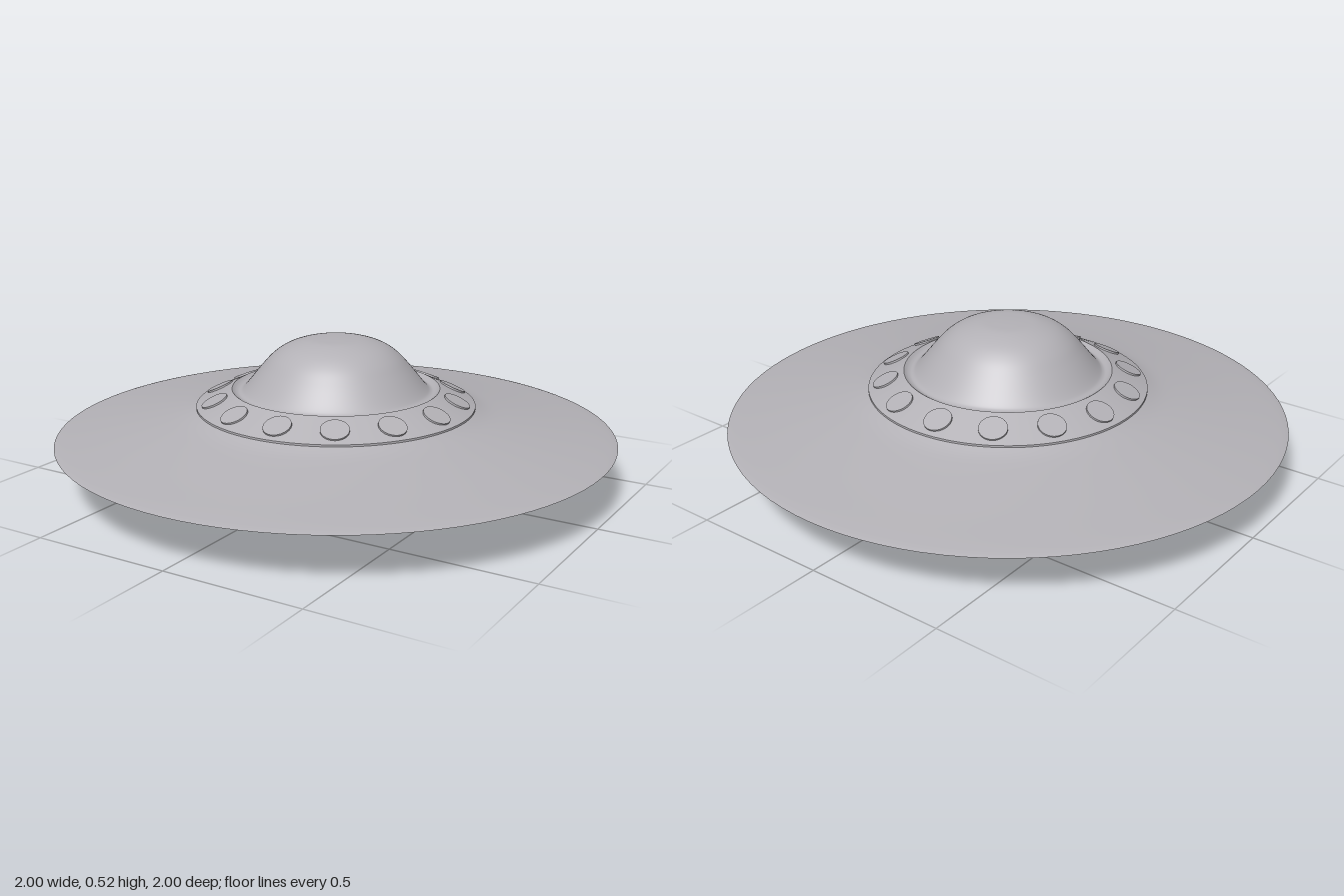
import * as THREE from 'three';

const SEGMENTS = 96;

export function createModel() {
  const saucer = new THREE.Group();
  saucer.name = 'flyingSaucer';
  const metal = new THREE.MeshStandardMaterial({ color: 0xb3b1b6, side: THREE.DoubleSide });
  metal.name = 'greyMetal';

  const vectors = (pts) => pts.map(([r, y]) => new THREE.Vector2(r, y));

  // Turned part; profiles run from low/outer to high/inner
  function turned(name, pts, smoothSteps = 0) {
    let profile = vectors(pts);
    if (smoothSteps) profile = new THREE.SplineCurve(profile).getPoints(smoothSteps);
    profile.forEach((p) => { p.x = Math.max(p.x, 0); });
    const mesh = new THREE.Mesh(new THREE.LatheGeometry(profile, SEGMENTS), metal);
    mesh.name = name;
    saucer.add(mesh);
  }

  // Rounded belly
  turned('belly', [
    [0, 0.005], [0.2, 0.008], [0.38, 0.018], [0.47, 0.034],
    [0.51, 0.058], [0.53, 0.082], [0.545, 0.098],
  ], 36);

  // Thin disc meeting at a sharp rim
  turned('hullUnderside', [[0.545, 0.098], [0.7, 0.122], [0.85, 0.148], [0.96, 0.169], [1, 0.179]], 20);
  turned('hullTop', [[1, 0.179], [0.96, 0.188], [0.8, 0.213], [0.65, 0.239], [0.55, 0.26], [0.49, 0.283]], 24);

  // Sloped collar with a small step at its foot
  turned('collarStep', [[0.485, 0.28], [0.5, 0.28], [0.5, 0.287]].slice(1));
  turned('collarFoot', [[0.48, 0.28], [0.5, 0.28]]);
  turned('collar', [[0.5, 0.287], [0.372, 0.345]]);

  // Dome rising out of a shallow groove
  turned('dome', [
    [0.372, 0.345], [0.358, 0.336], [0.342, 0.335], [0.322, 0.352], [0.268, 0.418],
    [0.225, 0.464], [0.175, 0.497], [0.11, 0.518], [0.05, 0.523], [0, 0.524],
  ], 56);

  // Ring of round lights, each tilted to lie on a slope
  function lightRing(name, { count, ring, y, radius, depth, tilt, offset }) {
    const lights = new THREE.Group();
    lights.name = name;
    const geometry = new THREE.CylinderGeometry(radius, radius, depth, 32);
    geometry.rotateX(tilt);
    geometry.translate(0, y, ring);
    for (let i = 0; i < count; i++) {
      const light = new THREE.Mesh(geometry, metal);
      light.name = 'roundLight';
      light.rotation.y = offset + (i / count) * Math.PI * 2;
      lights.add(light);
    }
    saucer.add(lights);
  }

  lightRing('collarLights', {
    count: 14, ring: 0.437, y: 0.315, radius: 0.049, depth: 0.012,
    tilt: Math.atan2(0.058, 0.128), offset: 0.09,
  });
  lightRing('undersideLights', {
    count: 14, ring: 0.622, y: 0.109, radius: 0.07, depth: 0.024,
    tilt: -Math.atan2(0.024, 0.155), offset: 0.16,
  });

  return saucer;
}
